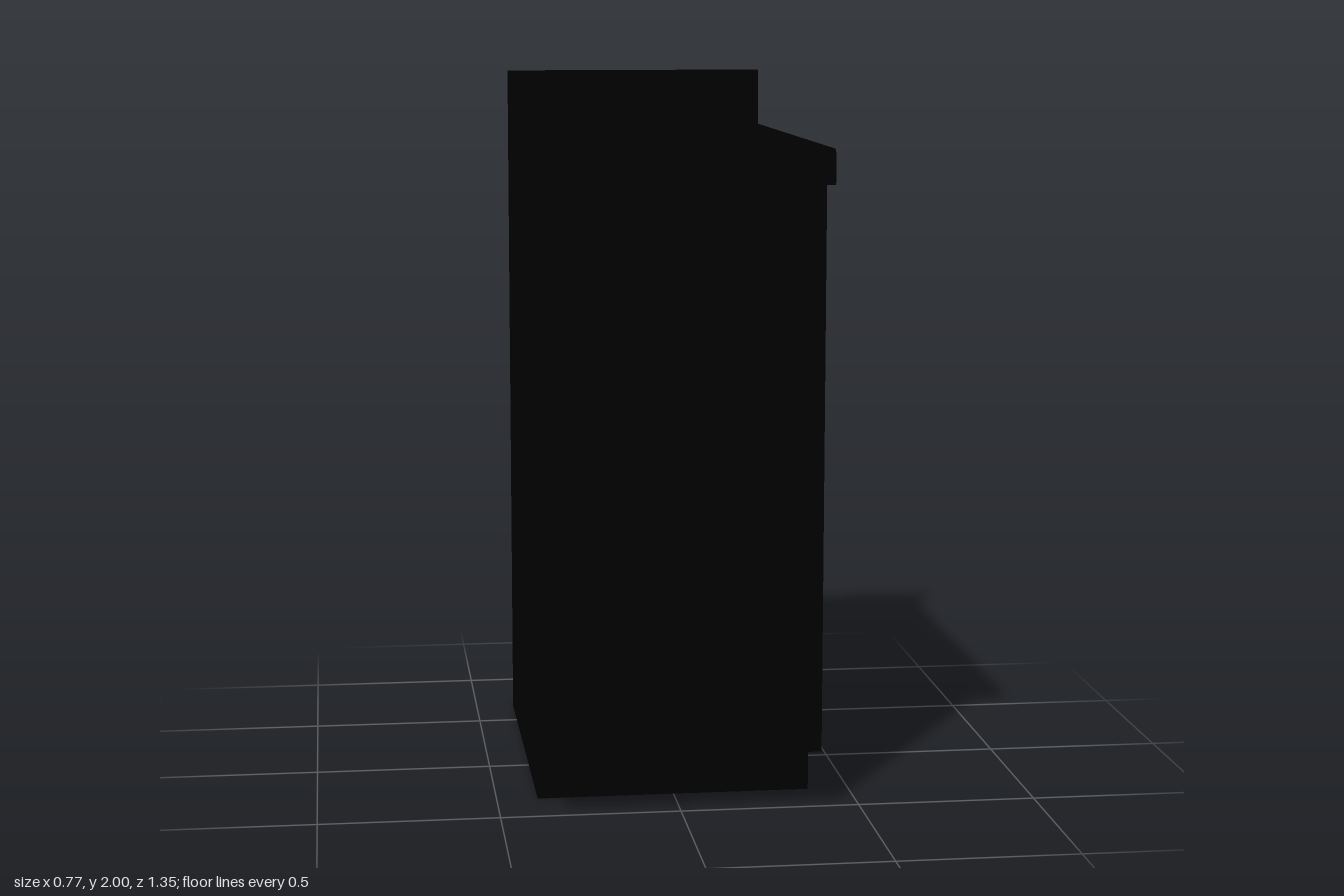
import * as THREE from 'three';

const material = new THREE.MeshStandardMaterial({ color: 0x000000 });
const WIDTH = 0.77;

function add(group, name, geometry, x = 0, y = 0, z = 0) {
  const mesh = new THREE.Mesh(geometry, material);
  mesh.name = name;
  mesh.position.set(x, y, z);
  group.add(mesh);
  return mesh;
}

// Side profile drawn in (z, y), extruded across the width
function acrossWidth(shape) {
  const g = new THREE.ExtrudeGeometry(shape, { depth: WIDTH, bevelEnabled: false, curveSegments: 6 });
  g.translate(0, 0, -WIDTH / 2);
  g.rotateY(-Math.PI / 2);
  return g;
}

// Nested rectangular rings [inset, z], joined from back to front and capped
function ringedPanel(w, h, rings) {
  const pos = [];
  const corners = rings.map(([i, z]) => {
    const a = w / 2 - i, b = h / 2 - i;
    return [[-a, -b, z], [a, -b, z], [a, b, z], [-a, b, z]];
  });
  const quad = (a, b, c, d) => pos.push(...a, ...b, ...c, ...a, ...c, ...d);
  for (let r = 0; r < corners.length - 1; r++) {
    for (let k = 0; k < 4; k++) {
      const n = (k + 1) % 4;
      quad(corners[r][k], corners[r][n], corners[r + 1][n], corners[r + 1][k]);
    }
  }
  const back = corners[0], front = corners[corners.length - 1];
  quad(back[3], back[2], back[1], back[0]);
  quad(...front);
  const g = new THREE.BufferGeometry();
  g.setAttribute('position', new THREE.Float32BufferAttribute(pos, 3));
  g.computeVertexNormals();
  return g;
}

export function createModel() {
  const model = new THREE.Group();
  model.name = 'baseCabinet';

  // Carcass with recessed toe kick
  const body = new THREE.Shape([
    [-0.67, 0], [0.335, 0], [0.335, 0.17], [0.545, 0.17], [0.545, 1.74], [-0.67, 1.74],
  ].map(([z, y]) => new THREE.Vector2(z, y)));
  add(model, 'carcass', acrossWidth(body));

  // Worktop with rounded front edge and upright backsplash
  const top = new THREE.Shape();
  top.moveTo(-0.67, 1.74);
  top.lineTo(0.665, 1.74);
  top.quadraticCurveTo(0.675, 1.74, 0.675, 1.75);
  top.lineTo(0.675, 1.81);
  top.quadraticCurveTo(0.675, 1.835, 0.65, 1.835);
  top.lineTo(-0.635, 1.835);
  top.lineTo(-0.635, 1.985);
  top.quadraticCurveTo(-0.635, 2, -0.65, 2);
  top.lineTo(-0.67, 2);
  top.closePath();
  add(model, 'worktopAndBacksplash', acrossWidth(top));

  // Door with a sunken centre panel
  const door = new THREE.Group();
  door.name = 'door';
  door.position.set(-0.0075, 0.956, 0);
  model.add(door);
  add(door, 'doorPanel', ringedPanel(0.655, 1.468, [
    [0.01, 0.56], [0.008, 0.575], [0, 0.578], [0, 0.587], [0.006, 0.591],
    [0.105, 0.591], [0.109, 0.585], [0.117, 0.583], [0.125, 0.577],
  ]));

  // Hinges behind the door
  for (const y of [0.4275, 1.4875]) {
    add(model, 'hinge', new THREE.BoxGeometry(0.04, 0.195, 0.022), -0.305, y, 0.552);
  }

  // Turned knob
  const profile = [
    [0, 0], [0.018, 0], [0.015, 0.006], [0.012, 0.014], [0.013, 0.022],
    [0.027, 0.028], [0.032, 0.034], [0.032, 0.046], [0.026, 0.053], [0, 0.056],
  ].map(([r, h]) => new THREE.Vector2(r, h));
  const knob = add(model, 'knob', new THREE.LatheGeometry(profile, 24), 0.27, 1.553, 0.59);
  knob.rotation.x = Math.PI / 2;

  return model;
}
